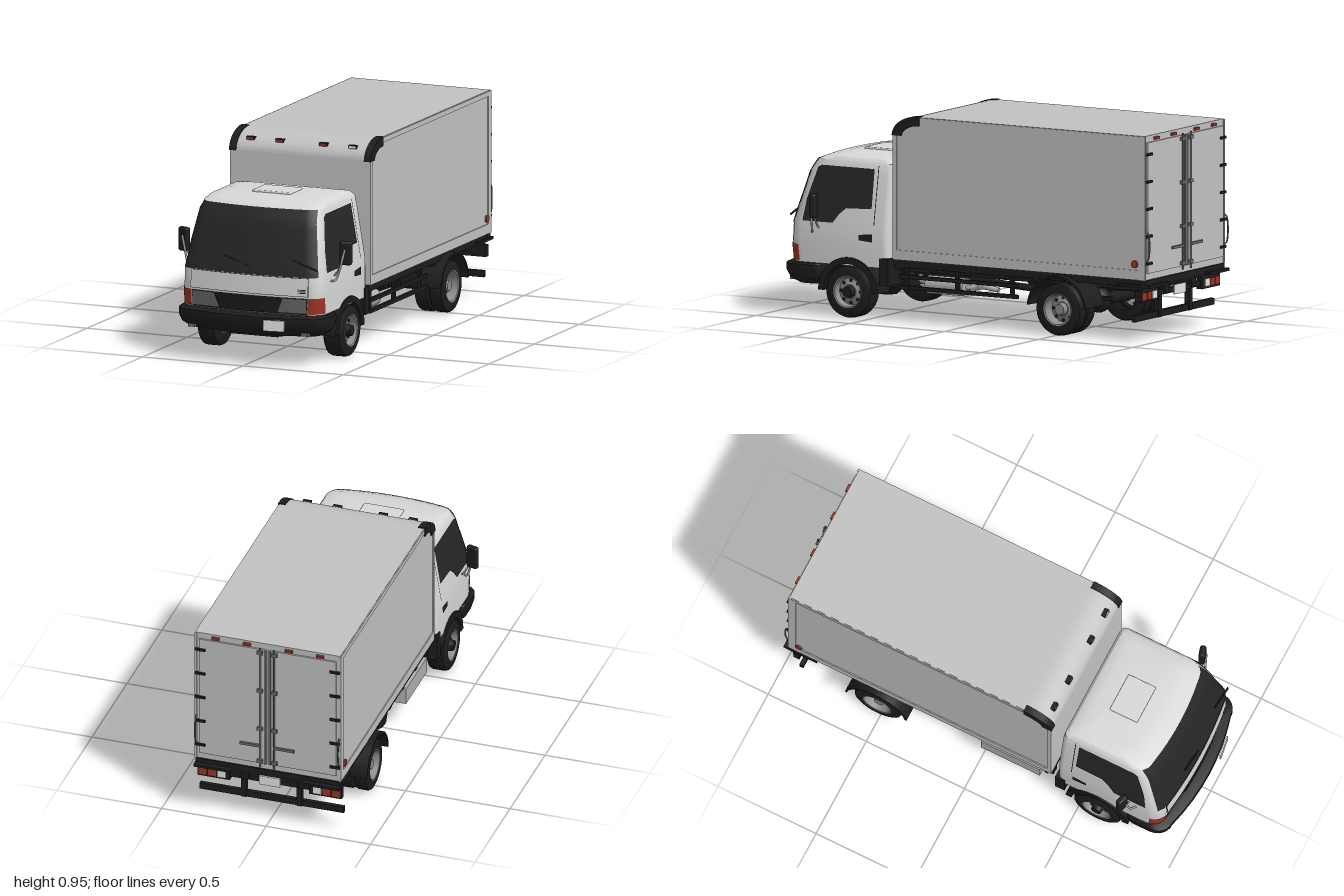
import * as THREE from 'three';
import { toCreasedNormals } from 'three/addons/utils/BufferGeometryUtils.js';
import { RoundedBoxGeometry } from 'three/addons/geometries/RoundedBoxGeometry.js';

const mat = (name, color) => new THREE.MeshStandardMaterial({ name, color, side: THREE.DoubleSide });
const M = {
  cab: mat('cab white', 0xd8d8d8), cargo: mat('cargo grey', 0xc2c2c2), black: mat('black plastic', 0x1d1d1d),
  glass: mat('dark glass', 0x262626), red: mat('lamp red', 0x9c3524), lamp: mat('headlight grey', 0x6c6c6c),
  rim: mat('wheel steel', 0x8c8c8c), metal: mat('bare metal', 0xb0b0b0), plate: mat('plate white', 0xe6e6e6),
};

// Cab levels: y, half width, front z, back z
const LEVELS = [
  [0.24, 0.348, 0.935, 0.395], [0.33, 0.348, 0.945, 0.395], [0.42, 0.347, 0.94, 0.395], [0.66, 0.307, 0.87, 0.395],
  [0.71, 0.298, 0.835, 0.40], [0.728, 0.282, 0.79, 0.415], [0.737, 0.24, 0.73, 0.46], [0.741, 0.12, 0.66, 0.52],
];
const R = 0.07, BOW = 0.02;
function cabAt(y) {
  let i = 0;
  while (i < LEVELS.length - 2 && y > LEVELS[i + 1][0]) i++;
  const a = LEVELS[i], b = LEVELS[i + 1], t = (y - a[0]) / (b[0] - a[0]);
  return a.map((v, k) => v + (b[k] - v) * t);
}
function frontZ(x, y) {
  const [, w, zf] = cabAt(y), a = w - R, ax = Math.abs(x);
  if (ax <= a) return zf - BOW * (x / a) ** 2;
  const d = Math.min(1, (ax - a) / R);
  return zf - BOW - R * (1 - Math.sqrt(1 - d * d));
}

// Plan outline with a bowed front and rounded corners
function ring(y, w, zf, zb, bow = BOW) {
  const r = Math.min(R, w * 0.25), r2 = r * 0.4, half = [];
  for (let i = 0; i <= 4; i++) half.push([(w - r) * i / 4, zf - bow * (i / 4) ** 2]);
  for (let i = 1; i <= 6; i++) {
    const a = Math.PI / 2 * (1 - i / 6);
    half.push([w - r + r * Math.cos(a), zf - bow - r + r * Math.sin(a)]);
  }
  for (let i = 0; i <= 3; i++) {
    const a = -Math.PI / 2 * i / 3;
    half.push([w - r2 + r2 * Math.cos(a), zb + r2 + r2 * Math.sin(a)]);
  }
  const left = half.slice(1).reverse().map(([x, z]) => [-x, z]);
  return [...half, ...left].map(([x, z]) => [x, y, z]);
}
function loft(rows, closed, crease = 0.6) {
  const n = rows[0].length, idx = [];
  for (let r = 0; r < rows.length - 1; r++)
    for (let c = 0; c < (closed ? n : n - 1); c++) {
      const a = r * n + c, b = r * n + (c + 1) % n;
      idx.push(a, b, a + n, b, b + n, a + n);
    }
  const g = new THREE.BufferGeometry();
  g.setAttribute('position', new THREE.Float32BufferAttribute(rows.flat(2), 3));
  g.setIndex(idx);
  return toCreasedNormals(g, crease);
}
function capped(rows) {
  const point = row => row.map(() => [0, row[0][1], (row[0][2] + row[13][2]) / 2]);
  return loft([point(rows[0]), ...rows, point(rows[rows.length - 1])], true);
}

export function createModel() {
  const root = new THREE.Group();
  const group = (name, parent = root) => { const g = new THREE.Group(); g.name = name; parent.add(g); return g; };
  const add = (p, name, geo, m) => { const o = new THREE.Mesh(geo, m); o.name = name; p.add(o); return o; };
  // Box given by its limits
  const box = (p, name, m, x0, x1, y0, y1, z0, z1) => {
    const o = add(p, name, new THREE.BoxGeometry(Math.abs(x1 - x0), y1 - y0, z1 - z0), m);
    o.position.set((x0 + x1) / 2, (y0 + y1) / 2, (z0 + z1) / 2);
    return o;
  };
  const tube = (p, name, m, pts, r) => add(p, name,
    new THREE.TubeGeometry(new THREE.CatmullRomCurve3(pts.map(q => new THREE.Vector3(...q))), 16, r, 8), m);
  // Side profile (z, y) extruded from x0 to x1
  const profile = (p, name, m, shape, x0, x1) => add(p, name, toCreasedNormals(
    new THREE.ExtrudeGeometry(shape, { depth: x1 - x0, bevelEnabled: false, curveSegments: 20 })
      .rotateY(-Math.PI / 2).translate(x1, 0, 0), 0.5), m);
  // Thin plates following the cab front and cab side
  const frontPatch = (p, name, m, b0, b1, t0, t1, y0, y1, off = 0.005) => {
    const rows = [];
    for (let j = 0; j <= 10; j++) {
      const v = j / 10, y = y0 + (y1 - y0) * v, l = b0 + (t0 - b0) * v, r = b1 + (t1 - b1) * v, row = [];
      for (let i = 0; i <= 24; i++) {
        const x = l + (r - l) * i / 24;
        row.push([x * (1 + off), y, frontZ(x, y) + off]);
      }
      rows.push(row);
    }
    return add(p, name, loft(rows, false), m);
  };
  const sidePatch = (p, name, m, s, pts, off = 0.004) => {
    const g = new THREE.ShapeGeometry(new THREE.Shape(pts.map(q => new THREE.Vector2(...q)))).rotateY(-Math.PI / 2);
    const a = g.attributes.position;
    for (let i = 0; i < a.count; i++) a.setX(i, s * (cabAt(a.getY(i))[1] + off));
    g.computeVertexNormals();
    return add(p, name, g, m);
  };
  const arch = (ri, ro, a0, a1) => {
    const s = new THREE.Shape();
    s.absarc(0, 0, ro, a0, a1, false);
    s.absarc(0, 0, ri, a1, a0, true);
    return s;
  };

  // Cab shell and front
  const cab = group('cab');
  add(cab, 'cabShell', capped(LEVELS.map(l => ring(...l))), M.cab);
  const hatch = add(cab, 'roofHatch', new RoundedBoxGeometry(0.19, 0.02, 0.14, 2, 0.006), M.cab);
  hatch.position.set(-0.005, 0.739, 0.605);
  frontPatch(cab, 'windscreen', M.glass, -0.331, 0.331, -0.282, 0.282, 0.415, 0.708);
  frontPatch(cab, 'frontPanelSeam', M.black, -0.292, 0.292, -0.292, 0.292, 0.327, 0.413, 0.002);
  frontPatch(cab, 'frontPanel', M.cab, -0.289, 0.289, -0.289, 0.289, 0.33, 0.411, 0.006);
  frontPatch(cab, 'grilleBand', M.black, -0.285, 0.285, -0.285, 0.285, 0.243, 0.32, 0.003);
  frontPatch(cab, 'grille', M.black, -0.135, 0.135, -0.165, 0.165, 0.246, 0.316, 0.009);
  for (let i = 0; i < 3; i++)
    frontPatch(cab, 'panelVent', M.black, 0.242, 0.28, 0.242, 0.28, 0.343 + i * 0.007, 0.347 + i * 0.007, 0.008);
  for (const s of [-1, 1]) {
    const span = (a, b) => s > 0 ? [a, b] : [-b, -a];
    frontPatch(cab, 'headlight', M.lamp, ...span(0.145, 0.28), ...span(0.17, 0.28), 0.25, 0.315, 0.006);
    frontPatch(cab, 'cornerLamp', M.red, ...span(0.288, 0.3475), ...span(0.285, 0.3475), 0.246, 0.32, 0.005);
    sidePatch(cab, 'sideWindow', M.glass, s,
      [[0.845, 0.43], [0.83, 0.53], [0.785, 0.675], [0.765, 0.685], [0.487, 0.685], [0.485, 0.505], [0.62, 0.5], [0.655, 0.47], [0.685, 0.43]]);
    sidePatch(cab, 'doorHandle', M.black, s, [[0.545, 0.36], [0.545, 0.385], [0.475, 0.392], [0.475, 0.355]]);
    sidePatch(cab, 'doorSeam', M.black, s, [[0.465, 0.43], [0.469, 0.43], [0.469, 0.7], [0.465, 0.7]], 0.002);
    // Mirror on two arms
    const mirror = group('mirror', cab);
    const head = add(mirror, 'mirrorHead', new RoundedBoxGeometry(0.058, 0.112, 0.03, 2, 0.012), M.black);
    head.position.set(s * 0.402, 0.51, 0.752);
    head.rotation.y = s * 0.3;
    tube(mirror, 'mirrorArm', M.metal, [[s * 0.34, 0.385, 0.8], [s * 0.362, 0.385, 0.785], [s * 0.405, 0.53, 0.77]], 0.005);
    tube(mirror, 'mirrorBrace', M.metal, [[s * 0.34, 0.4, 0.76], [s * 0.355, 0.41, 0.76], [s * 0.4, 0.5, 0.77]], 0.004);
    const wiper = box(cab, 'wiper', M.black, -0.065, 0.065, -0.004, 0.004, -0.003, 0.003);
    wiper.position.set(s > 0 ? 0.27 : -0.06, 0.47, s > 0 ? 0.916 : 0.933);
    wiper.rotation.set(-0.28, 0.06, -0.3);
    // Front wheel arch and rear flap
    profile(cab, 'frontFender', M.black, arch(0.128, 0.158, 0, Math.PI), 0.25, 0.355)
      .position.set(s > 0 ? 0 : -0.605, 0.12, 0.6);
    box(cab, 'mudFlap', M.black, s * 0.24, s * 0.353, 0.16, 0.285, 0.387, 0.435);
  }

  // Front bumper
  const bumper = group('frontBumper');
  add(bumper, 'bumperShell', capped([ring(0.14, 0.325, 0.945, 0.78, 0.04), ring(0.165, 0.355, 0.975, 0.76, 0.04),
    ring(0.2, 0.364, 0.992, 0.75, 0.04), ring(0.23, 0.364, 0.992, 0.75, 0.04), ring(0.238, 0.355, 0.98, 0.75, 0.04)]), M.black);
  box(bumper, 'frontPlate', M.plate, 0.1, 0.198, 0.17, 0.22, 0.985, 0.993).rotation.y = 0.15;
  for (const s of [-1, 1]) box(bumper, 'fogLamp', M.lamp, s * 0.265, s * 0.297, 0.148, 0.162, 0.9, 0.943);

  // Cargo box with a rounded front top edge
  const cargo = group('cargoBox');
  const side = new THREE.Shape();
  side.moveTo(-0.97, 0.285);
  side.lineTo(0.365, 0.285);
  side.lineTo(0.365, 0.855);
  side.absellipse(0.225, 0.855, 0.14, 0.09, 0, Math.PI / 2, false, 0);
  side.lineTo(-0.97, 0.945);
  profile(cargo, 'cargoShell', M.cargo, side, -0.345, 0.345);
  const guard = new THREE.Shape();
  guard.absellipse(0.225, 0.855, 0.144, 0.094, 0, Math.PI / 2, false, 0);
  guard.absellipse(0.225, 0.855, 0.095, 0.05, Math.PI / 2, 0, true, 0);
  for (const s of [-1, 1]) {
    profile(cargo, 'cornerGuard', M.black, guard, s > 0 ? 0.318 : -0.352, s > 0 ? 0.352 : -0.318);
    box(cargo, 'bottomRail', M.cargo, s * 0.34, s * 0.35, 0.285, 0.33, -0.97, 0.365);
    box(cargo, 'topRail', M.cargo, s * 0.34, s * 0.35, 0.92, 0.943, -0.97, 0.22);
    box(cargo, 'rearPost', M.cargo, s * 0.34, s * 0.35, 0.285, 0.943, -0.975, -0.937);
    box(cargo, 'frontPost', M.cargo, s * 0.34, s * 0.35, 0.33, 0.855, 0.345, 0.365);
    const marker = add(cargo, 'sideMarker', new THREE.CylinderGeometry(0.017, 0.017, 0.008, 16), M.red);
    marker.rotation.z = Math.PI / 2;
    marker.position.set(s * 0.352, 0.357, -0.92);
    // Rear door with hinges, lock rod and latch
    box(cargo, 'rearDoor', M.cargo, s * 0.006, s * 0.328, 0.315, 0.915, -0.978, -0.965);
    box(cargo, 'doorEdge', M.lamp, s * 0.006, s * 0.016, 0.315, 0.915, -0.982, -0.975);
    tube(cargo, 'lockRod', M.lamp, [[s * 0.034, 0.3, -0.985], [s * 0.034, 0.6, -0.985], [s * 0.034, 0.925, -0.985]], 0.005);
    for (const y of [0.33, 0.5, 0.7, 0.9]) box(cargo, 'rodBracket', M.lamp, s * 0.022, s * 0.048, y - 0.008, y + 0.008, -0.99, -0.976);
    for (let i = 0; i < 5; i++) box(cargo, 'hinge', M.black, s * 0.298, s * 0.346, 0.355 + i * 0.125, 0.367 + i * 0.125, -0.985, -0.975);
    box(cargo, 'latchHandle', M.lamp, s * 0.03, s * 0.13, 0.405, 0.417, -0.992, -0.982);
    for (const x of [0.1, 0.25]) box(cargo, 'rearMarker', M.red, s * x - 0.018, s * x + 0.018, 0.923, 0.935, -0.982, -0.968);
    tube(cargo, 'grabHandle', M.lamp, [[s * 0.342, 0.37, -0.97], [s * 0.342, 0.38, -0.987], [s * 0.342, 0.5, -0.987], [s * 0.342, 0.51, -0.97]], 0.004);
  }
  [-0.257, -0.113, 0.105, 0.25].forEach((x, i) => {
    box(cargo, 'markerBase', M.black, x - 0.02, x + 0.02, 0.904, 0.92, 0.3, 0.343);
    box(cargo, 'frontMarker', i < 3 ? M.red : M.plate, x - 0.016, x + 0.016, 0.907, 0.917, 0.3, 0.347);
  });

  // Chassis, axles and running gear
  const chassis = group('chassis');
  for (const s of [-1, 1]) {
    box(chassis, 'frameRail', M.black, s * 0.1, s * 0.135, 0.2, 0.265, -0.95, 0.9);
    box(chassis, 'sill', M.black, s * 0.3, s * 0.335, 0.25, 0.286, -0.96, 0.37);
    for (const z of [0.6, -0.517]) box(chassis, 'leafSpring', M.black, s * 0.15, s * 0.18, 0.15, 0.168, z - 0.17, z + 0.17);
    profile(chassis, 'rearFender', M.black, arch(0.147, 0.157, 0.1, Math.PI - 0.1), 0.215, 0.373)
      .position.set(s > 0 ? 0 : -0.588, 0.12, -0.517);
    box(chassis, 'guardPost', M.black, s * 0.31, s * 0.325, 0.19, 0.26, 0.32, 0.335);
  }
  for (let i = 0; i < 8; i++) box(chassis, 'crossMember', M.black, -0.33, 0.33, 0.235, 0.28, -0.95 + i * 0.183, -0.92 + i * 0.183);
  for (const y of [0.15, 0.2]) box(chassis, 'sideGuard', M.black, 0.325, 0.34, y, y + 0.018, -0.29, 0.34);
  for (const z of [-0.26, 0.03, 0.3]) box(chassis, 'guardStay', M.black, 0.31, 0.325, 0.15, 0.26, z, z + 0.018);
  box(chassis, 'engine', M.black, -0.12, 0.12, 0.12, 0.24, 0.45, 0.88);
  const sump = add(chassis, 'sump', new THREE.CylinderGeometry(0.1, 0.045, 0.05, 8), M.black);
  sump.position.set(0, 0.097, 0.6);
  box(chassis, 'fuelTank', M.metal, -0.335, -0.2, 0.145, 0.222, 0, 0.3);
  const spare = add(chassis, 'spareWheel', new THREE.CylinderGeometry(0.12, 0.11, 0.075, 28), M.black);
  spare.position.set(-0.18, 0.16, -0.165);
  for (const [z, r] of [[0.6, 0.02], [-0.517, 0.028]])
    add(chassis, 'axle', new THREE.CylinderGeometry(r, r, 0.56, 12).rotateZ(Math.PI / 2).translate(0, 0.12, z), M.black);
  const diff = add(chassis, 'differential', new THREE.SphereGeometry(0.06, 16, 12), M.black);
  diff.position.set(0, 0.125, -0.517);
  tube(chassis, 'driveShaft', M.black, [[0, 0.18, 0.45], [0, 0.16, 0], [0, 0.13, -0.48]], 0.016);
  add(chassis, 'muffler', new THREE.CylinderGeometry(0.042, 0.042, 0.2, 18).rotateX(Math.PI / 2).translate(0.22, 0.165, 0.15), M.metal);
  tube(chassis, 'exhaustPipe', M.metal, [[-0.07, 0.17, 0.46], [0.05, 0.16, 0.4], [0.17, 0.165, 0.3], [0.22, 0.165, 0.24]], 0.013);
  tube(chassis, 'tailPipe', M.metal, [[0.22, 0.165, 0.06], [0.22, 0.165, 0], [0.26, 0.18, -0.06], [0.25, 0.17, -0.14]], 0.012);

  // Rear bumper, lamps and underrun bar
  const rear = group('rearBumper');
  box(rear, 'rearStep', M.black, -0.345, 0.345, 0.25, 0.284, -0.975, -0.94);
  box(rear, 'underrunBar', M.black, -0.345, 0.345, 0.09, 0.12, -0.92, -0.9);
  box(rear, 'rearPlate', M.plate, -0.05, 0.05, 0.185, 0.23, -0.95, -0.943);
  box(rear, 'lampBar', M.black, -0.345, 0.345, 0.195, 0.22, -0.942, -0.925);
  for (const s of [-1, 1]) {
    box(rear, 'stepEnd', M.black, s * 0.17, s * 0.348, 0.25, 0.263, -1, -0.83);
    box(rear, 'lampHousing', M.black, s * 0.19, s * 0.345, 0.18, 0.235, -0.95, -0.92);
    [M.red, M.red, M.plate].forEach((m, i) => box(rear, 'tailLamp', m, s * (0.3 - i * 0.045), s * (0.338 - i * 0.045), 0.19, 0.225, -0.955, -0.945));
    box(rear, 'underrunPost', M.black, s * 0.12, s * 0.145, 0.09, 0.25, -0.925, -0.9);
  }

  // Wheels; local +y points outward before turning
  const lathe = pts => toCreasedNormals(new THREE.LatheGeometry(pts.map(q => new THREE.Vector2(...q)), 32).rotateZ(-Math.PI / 2), 0.6);
  const tyre = w => lathe([[0.07, -w], [0.105, -w], [0.116, -w * 0.85], [0.12, -w * 0.6], [0.12, w * 0.6], [0.116, w * 0.85], [0.105, w], [0.073, w], [0.068, w * 0.5]]);
  const wheel = (s, z, dual) => {
    const g = group(dual ? 'rearWheel' : 'frontWheel');
    g.position.set(s * (dual ? 0.325 : 0.313), 0.12, z);
    if (s < 0) g.rotation.y = Math.PI;
    const w = dual ? 0.034 : 0.045;
    add(g, 'tyre', tyre(w), M.black);
    if (dual) add(g, 'innerTyre', tyre(w), M.black).position.x = -0.072;
    const d = dual ? -0.018 : 0.012;
    add(g, 'rim', lathe([[0.076, w - 0.004], [0.074, w + 0.002], [0.068, w], [0.062, d], [0.04, d + 0.006], [0.033, d + 0.012], [0, d + 0.012]]), M.rim);
    add(g, 'hub', new THREE.CylinderGeometry(0.024, 0.03, 0.035, 16).rotateZ(-Math.PI / 2).translate(d + 0.022, 0, 0), dual ? M.rim : M.black);
    for (let i = 0; i < 8; i++) {
      const a = i * Math.PI / 4;
      add(g, 'rimHole', new THREE.CylinderGeometry(0.008, 0.008, 0.006, 10).rotateZ(-Math.PI / 2)
        .translate(d + 0.004, 0.051 * Math.cos(a), 0.051 * Math.sin(a)), M.black);
    }
  };
  for (const s of [-1, 1]) { wheel(s, 0.6, false); wheel(s, -0.517, true); }
  return root;
}
